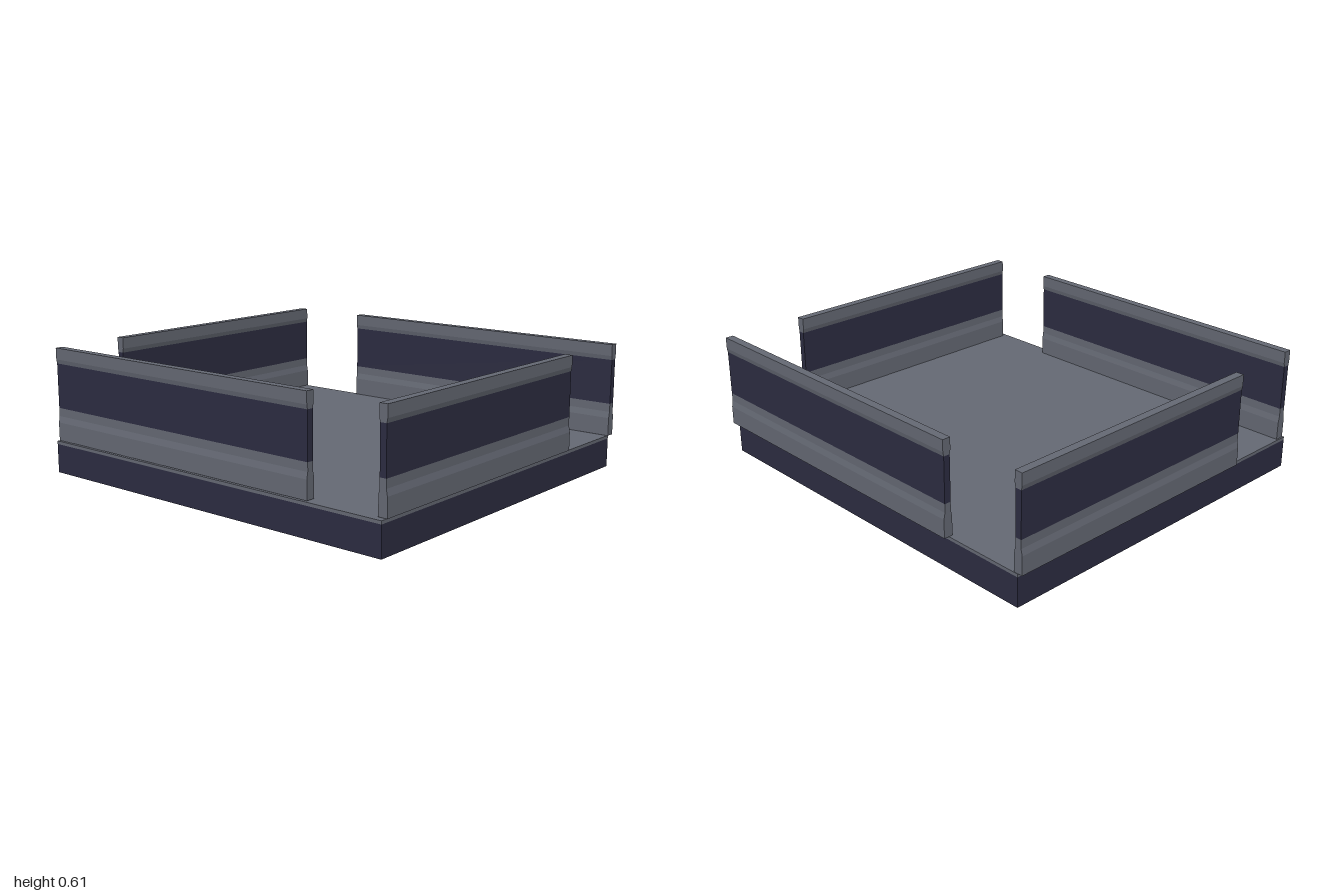
import * as THREE from 'three';

export function createModel() {
  const model = new THREE.Group();
  model.name = 'walledPlatform';

  const grey = new THREE.MeshStandardMaterial({ color: 0x666a75 });
  grey.name = 'slate grey';
  const dark = new THREE.MeshStandardMaterial({ color: 0x2d2d42 });
  dark.name = 'dark navy';

  // Base block with a thin grey floor slab on top
  const slab = (name, y0, y1, material) => {
    const mesh = new THREE.Mesh(new THREE.BoxGeometry(1.965, y1 - y0, 1.795), material);
    mesh.position.set(0.0075, (y0 + y1) / 2, 0.0125);
    mesh.name = name;
    model.add(mesh);
  };
  slab('base', 0, 0.14, dark);
  slab('floor', 0.14, 0.155, grey);

  // Wall bands: half cross-sections as [half thickness, height]
  const bands = [
    ['skirting', grey, [[0.022, 0.157], [0.022, 0.245], [0.016, 0.275], [0.016, 0.315]]],
    ['panel', dark, [[0.016, 0.315], [0.016, 0.53]]],
    ['topRail', grey, [[0.016, 0.53], [0.02, 0.55], [0.02, 0.605]]],
  ];

  // Symmetric wall running along z, centred on its own origin
  const makeWall = (name, length) => {
    const wall = new THREE.Group();
    wall.name = name;
    for (const [part, material, half] of bands) {
      const left = half.map(([w, y]) => [-w, y]).reverse();
      const shape = new THREE.Shape([...half, ...left].map(([x, y]) => new THREE.Vector2(x, y)));
      const geometry = new THREE.ExtrudeGeometry(shape, { depth: length, bevelEnabled: false });
      geometry.translate(0, 0, -length / 2);
      const mesh = new THREE.Mesh(geometry, material);
      mesh.name = part;
      wall.add(mesh);
    }
    model.add(wall);
    return wall;
  };

  // Four walls in a pinwheel, each leaving a gap at one end
  const alongX = (name, x0, x1, z) => {
    const wall = makeWall(name, x1 - x0);
    wall.rotation.y = Math.PI / 2;
    wall.position.set((x0 + x1) / 2, 0, z);
  };
  const alongZ = (name, z0, z1, x) => {
    makeWall(name, z1 - z0).position.set(x, 0, (z0 + z1) / 2);
  };
  alongX('frontWall', -0.97, 0.605, 0.878);
  alongX('backWall', -0.575, 0.998, -0.89);
  alongZ('rightWall', -0.885, 0.498, -0.978);
  alongZ('leftWall', -0.493, 0.885, 0.976);

  return model;
}
